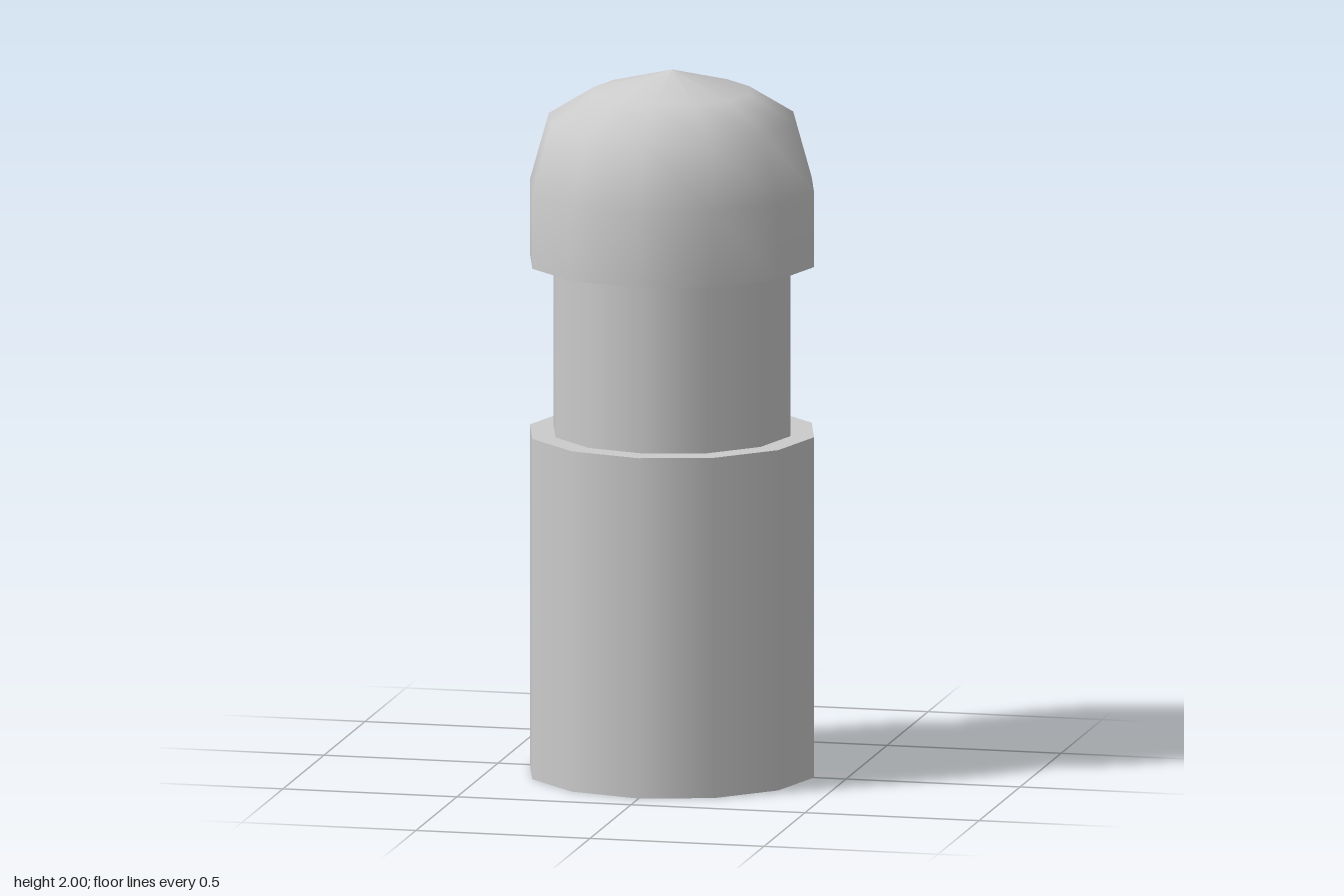
import * as THREE from 'three';

const SIDES = 12;

export function createModel() {
  const model = new THREE.Group();
  const material = new THREE.MeshStandardMaterial({ color: 0xcccccc });

  const add = (name, geometry, y, parent = model) => {
    const mesh = new THREE.Mesh(geometry, material);
    mesh.name = name;
    mesh.position.y = y;
    parent.add(mesh);
  };

  // Upright twelve-sided cylinder between two heights
  const column = (name, radius, y0, y1, open) =>
    add(name, new THREE.CylinderGeometry(radius, radius, y1 - y0, SIDES, 1, open), (y0 + y1) / 2);

  column('base', 0.408, 0, 0.97, false);
  column('neck', 0.34, 0.97, 1.455, true);

  // Rounded cap: straight wall running smoothly into a faceted dome
  const cap = new THREE.Group();
  cap.name = 'cap';
  const profile = [[0.408, 1.455], [0.408, 1.67], [0.354, 1.86], [0.225, 1.94], [0, 2]]
    .map(([r, y]) => new THREE.Vector2(r, y));
  add('capDome', new THREE.LatheGeometry(profile, SIDES), 0, cap);
  add('capUnderside', new THREE.CircleGeometry(0.408, SIDES).rotateX(Math.PI / 2), 1.455, cap);
  model.add(cap);

  return model;
}
